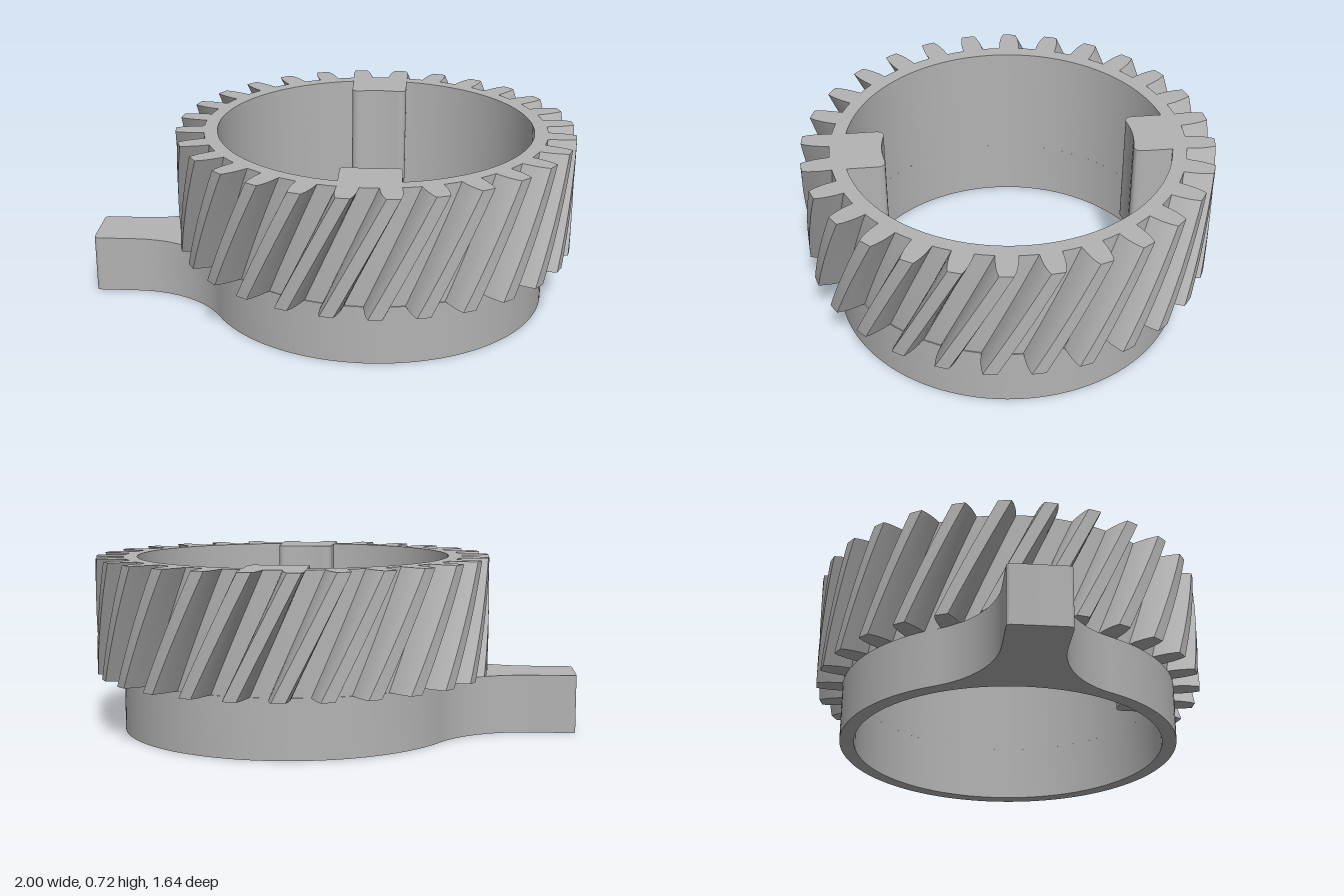
import * as THREE from 'three';
import { toCreasedNormals } from 'three/addons/utils/BufferGeometryUtils.js';

const TEETH = 28, PITCH = (Math.PI * 2) / TEETH;
const BORE = 0.65, ROOT = 0.706, TIP = 0.82, COLLAR = 0.71;
const BASE_H = 0.24, GEAR_H = 0.48, TWIST = 0.3;

// Extrudes a plan shape upwards from y = 0
function extrudeUp(shape, height, steps = 1, curveSegments = 48) {
  const g = new THREE.ExtrudeGeometry(shape, { depth: height, steps, curveSegments, bevelEnabled: false });
  return g.rotateX(-Math.PI / 2);
}

function boreHole() {
  const hole = new THREE.Path();
  hole.absarc(0, 0, BORE, 0, Math.PI * 2, true);
  return hole;
}

// Collar with a lever arm blended in by two concave fillets
function collarShape() {
  const half = 0.12, end = -1.18, r = 0.02, fx = -1;
  const R = (fx * fx + half * half - COLLAR * COLLAR) / (2 * (COLLAR - half));
  const fy = half + R;
  const join = Math.atan2(fy, fx);
  const s = new THREE.Shape();
  s.absarc(0, 0, COLLAR, -join, join, false);
  s.absarc(fx, fy, R, join - Math.PI, -Math.PI / 2, true);
  s.lineTo(end + r, half);
  s.quadraticCurveTo(end, half, end, half - r);
  s.lineTo(end, -half + r);
  s.quadraticCurveTo(end, -half, end + r, -half);
  s.lineTo(fx, -half);
  s.absarc(fx, -fy, R, Math.PI / 2, Math.PI - join, true);
  s.holes.push(boreHole());
  return s;
}

// Gear outline: each tooth has curved flanks given as [radius, half angle]
function gearShape() {
  const flank = [[ROOT, 0.06], [0.74, 0.0565], [0.77, 0.051], [0.797, 0.043], [TIP, 0.033]];
  const pts = [];
  const add = (r, a) => pts.push(new THREE.Vector2(r * Math.cos(a), r * Math.sin(a)));
  for (let i = 0; i < TEETH; i++) {
    const mid = (i + 0.5) * PITCH;
    add(ROOT, mid - PITCH / 2);
    flank.forEach(([r, h]) => add(r, mid - h));
    add(TIP, mid);
    [...flank].reverse().forEach(([r, h]) => add(r, mid + h));
  }
  const s = new THREE.Shape(pts);
  s.holes.push(boreHole());
  return s;
}

// Helical gear: every level is turned in proportion to its height, untwisted at the top
function gearGeometry() {
  const g = extrudeUp(gearShape(), GEAR_H, 14);
  const p = g.attributes.position, v = new THREE.Vector3(), up = new THREE.Vector3(0, 1, 0);
  for (let i = 0; i < p.count; i++) {
    v.fromBufferAttribute(p, i);
    v.applyAxisAngle(up, TWIST * (v.y / GEAR_H - 1));
    p.setXYZ(i, v.x, v.y, v.z);
  }
  return g;
}

// Key inside the bore, with rounded corners and a slightly hollow face
function keyShape() {
  const w = 0.12, r = 0.032, face = 0.489;
  const s = new THREE.Shape();
  s.moveTo(w, 0.67);
  s.lineTo(-w, 0.67);
  s.lineTo(-w, face + r);
  s.quadraticCurveTo(-w, face, -w + r, face);
  s.quadraticCurveTo(0, face + 0.022, w - r, face);
  s.quadraticCurveTo(w, face, w, face + r);
  s.closePath();
  return s;
}

export function createModel() {
  const model = new THREE.Group();
  model.name = 'helicalGearRing';
  const grey = new THREE.MeshStandardMaterial({ color: 0xb3b3b3 });
  grey.name = 'grey';

  const part = (name, geometry, y) => {
    const mesh = new THREE.Mesh(toCreasedNormals(geometry, 0.45), grey);
    mesh.name = name;
    mesh.position.set(0.18, y, 0);
    model.add(mesh);
    return mesh;
  };

  part('collarWithLever', extrudeUp(collarShape(), BASE_H), 0);
  part('helicalGear', gearGeometry(), BASE_H);
  part('backKey', extrudeUp(keyShape(), GEAR_H, 1, 10), BASE_H);
  part('frontKey', extrudeUp(keyShape(), GEAR_H, 1, 10), BASE_H).rotation.y = Math.PI;
  return model;
}
